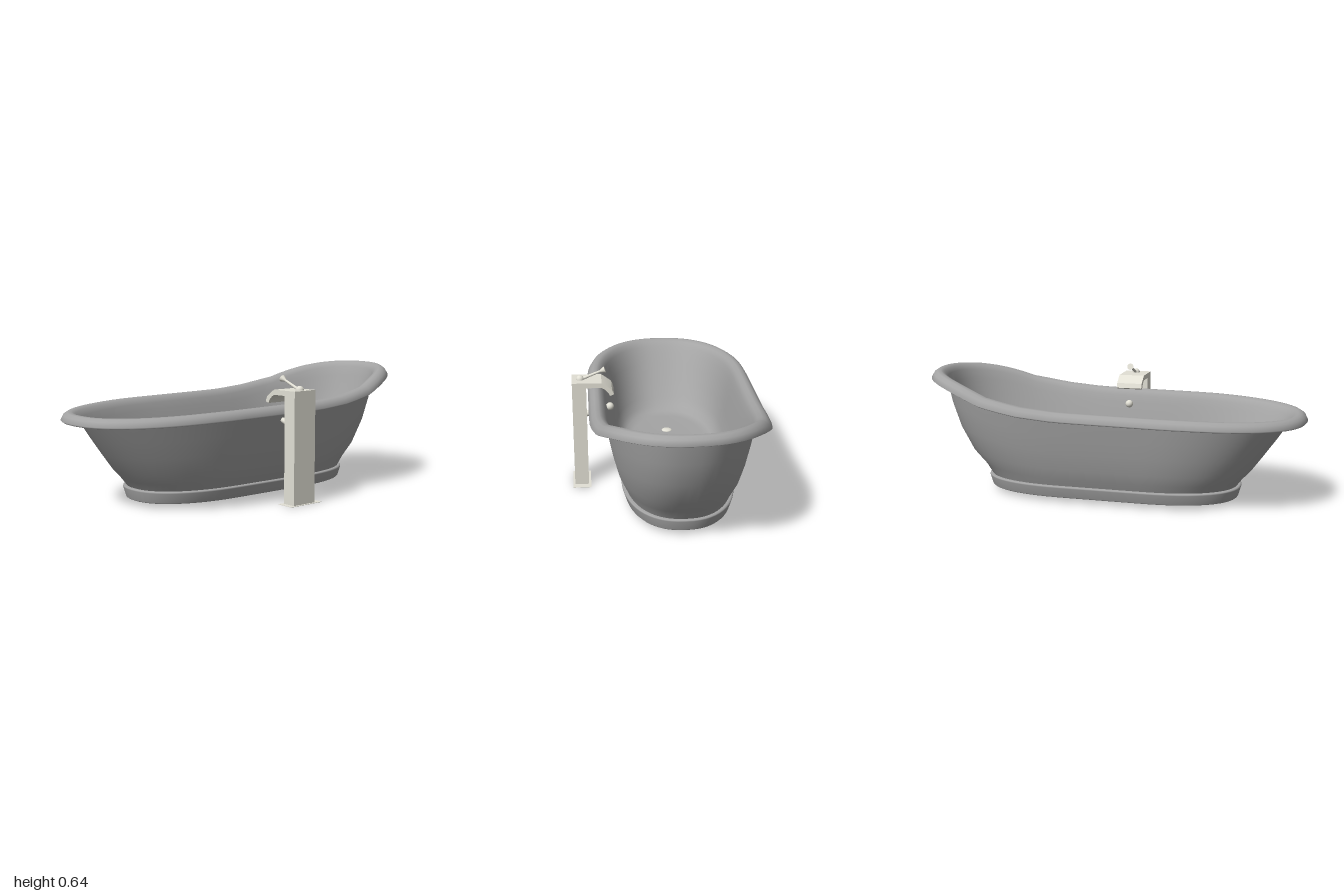
import * as THREE from 'three';

const TUB_X = -0.05, BASE_Y = 0.09, TAP_Z = -0.01;

// Crest height of the rim from the raised back (-1) to the front (1)
const CREST = [[-1, 0.645], [-0.9, 0.629], [-0.8, 0.608], [-0.7, 0.580], [-0.6, 0.547],
  [-0.4, 0.514], [-0.2, 0.498], [0, 0.495], [0.5, 0.489], [1, 0.475]];
function rimY(s) {
  let i = 1;
  while (i < CREST.length - 1 && s > CREST[i][0]) i++;
  const [s0, y0] = CREST[i - 1], [s1, y1] = CREST[i];
  return THREE.MathUtils.mapLinear(s, s0, s1, y0, y1);
}

// Unit plan outline: straight sides with full, rounded ends
const STRAIGHT = 0.3, CAP_STEPS = 32, SIDE_STEPS = 8;
const power = v => Math.sign(v) * Math.pow(Math.abs(v), 2 / 2.3);
const half = [];
for (let j = 0; j < CAP_STEPS; j++) {
  const a = j / CAP_STEPS * Math.PI;
  half.push([power(Math.cos(a)), STRAIGHT + (1 - STRAIGHT) * power(Math.sin(a))]);
}
for (let j = 0; j < SIDE_STEPS; j++) half.push([-1, STRAIGHT * (1 - 2 * j / SIDE_STEPS)]);
const OUTLINE = [...half, ...half.map(([c, s]) => [-c, -s])];

// Rings: [half width, front length, back length, rim share of height, height offset]
function loft(rings, material, name) {
  const pos = [], index = [], segs = OUTLINE.length;
  for (const [w, front, back, t, dy] of rings) {
    for (const [c, s] of OUTLINE) {
      pos.push(TUB_X + w * c, BASE_Y + t * (rimY(s) - BASE_Y) + dy, s * (s > 0 ? front : back));
    }
  }
  for (let i = 0; i < rings.length - 1; i++) {
    for (let j = 0; j < segs; j++) {
      const k = (j + 1) % segs;
      const a = i * segs + j, b = i * segs + k, c = a + segs, d = b + segs;
      index.push(a, c, b, c, d, b);
    }
  }
  const geo = new THREE.BufferGeometry();
  geo.setAttribute('position', new THREE.Float32BufferAttribute(pos, 3));
  geo.setIndex(index);
  geo.computeVertexNormals();
  const mesh = new THREE.Mesh(geo, material);
  mesh.name = name;
  return mesh;
}

// Tapered round bar between two points in the tap's plane
function bar(x0, y0, x1, y1, r0, r1, material, name) {
  const a = new THREE.Vector3(x0, y0, TAP_Z), b = new THREE.Vector3(x1, y1, TAP_Z);
  const mesh = new THREE.Mesh(new THREE.CylinderGeometry(r1, r0, a.distanceTo(b), 20), material);
  mesh.position.copy(a).lerp(b, 0.5);
  mesh.quaternion.setFromUnitVectors(new THREE.Vector3(0, 1, 0), b.clone().sub(a).normalize());
  mesh.name = name;
  return mesh;
}

export function createModel() {
  const enamel = new THREE.MeshStandardMaterial({ color: 0xa4a4a4 });
  enamel.name = 'greyEnamel';
  const metal = new THREE.MeshStandardMaterial({ color: 0xe2e0d5 });
  metal.name = 'paleMetal';

  const model = new THREE.Group();
  model.name = 'bathtubWithTap';
  const tub = new THREE.Group();
  tub.name = 'bathtub';
  const tap = new THREE.Group();
  tap.name = 'tap';
  model.add(tub, tap);

  // Tub shell: outer wall, rolled rim and basin
  tub.add(
    loft([
      [0.270, 0.655, 0.675, 0, -0.005],
      [0.289, 0.685, 0.710, 0.1, -0.004],
      [0.310, 0.732, 0.780, 0.25, -0.011],
      [0.333, 0.795, 0.850, 0.5, -0.022],
      [0.351, 0.855, 0.893, 0.75, -0.034],
      [0.368, 0.912, 0.920, 1, -0.045],
    ], enamel, 'outerWall'),
    loft([
      [0.368, 0.912, 0.920, 1, -0.045],
      [0.438, 0.992, 0.985, 1, -0.046],
    ], enamel, 'rimUnderside'),
    loft([
      [0.438, 0.992, 0.985, 1, -0.046],
      [0.446, 1.000, 0.998, 1, -0.038],
      [0.432, 0.988, 0.985, 1, -0.014],
      [0.415, 0.970, 0.968, 1, -0.002],
      [0.395, 0.950, 0.950, 1, 0],
      [0.376, 0.930, 0.932, 1, -0.010],
      [0.360, 0.905, 0.915, 1, -0.035],
      [0.352, 0.880, 0.900, 0.9, -0.03],
      [0.333, 0.838, 0.873, 0.75, -0.025],
      [0.314, 0.775, 0.828, 0.5, -0.015],
      [0.289, 0.708, 0.755, 0.25, 0],
      [0.270, 0.670, 0.710, 0.12, 0.008],
      [0.245, 0.635, 0.675, 0.04, 0.015],
      [0.210, 0.580, 0.610, 0, 0.02],
      [0.100, 0.300, 0.300, 0, 0.02],
      [0.0005, 0.0005, 0.0005, 0, 0.02],
    ], enamel, 'rimAndBasin'),
  );

  // Plinth: recessed underside, flared skirt and rounded top edge
  tub.add(
    loft([
      [0.0005, 0.0005, 0.0005, 0, -0.05],
      [0.250, 0.635, 0.655, 0, -0.05],
    ], enamel, 'underside'),
    loft([
      [0.250, 0.635, 0.655, 0, -0.05],
      [0.253, 0.638, 0.658, 0, -0.066],
      [0.268, 0.655, 0.672, 0, -0.066],
      [0.273, 0.660, 0.677, 0, -0.061],
      [0.288, 0.674, 0.691, 0, -0.012],
      [0.287, 0.673, 0.690, 0, -0.006],
      [0.281, 0.667, 0.684, 0, -0.003],
      [0.265, 0.645, 0.665, 0, -0.003],
    ], enamel, 'plinth'),
  );

  // Drain plug on the basin floor
  const drain = new THREE.Mesh(
    new THREE.SphereGeometry(0.029, 24, 8, 0, Math.PI * 2, 0, Math.PI / 2), metal);
  drain.scale.y = 0.3;
  drain.position.set(TUB_X, 0.11, 0.37);
  drain.name = 'drain';
  tub.add(drain);

  // Tap post and curved spout in one side profile
  const side = new THREE.Shape();
  side.moveTo(0.405, 0);
  side.lineTo(0.478, 0);
  side.lineTo(0.478, 0.573);
  side.lineTo(0.325, 0.571);
  side.quadraticCurveTo(0.298, 0.555, 0.272, 0.533);
  side.lineTo(0.262, 0.508);
  side.lineTo(0.283, 0.500);
  side.quadraticCurveTo(0.295, 0.530, 0.325, 0.545);
  side.lineTo(0.405, 0.546);
  const post = new THREE.Mesh(
    new THREE.ExtrudeGeometry(side, { depth: 0.14, bevelEnabled: false, curveSegments: 8 }), metal);
  post.position.z = TAP_Z - 0.067;
  post.name = 'postAndSpout';
  tap.add(post);

  const foot = new THREE.Mesh(new THREE.BoxGeometry(0.096, 0.002, 0.206), metal);
  foot.position.set(0.441, 0.001, -0.013);
  foot.name = 'footPlate';
  tap.add(foot);

  // Lever handle with ball joint and flared tip
  const ball = new THREE.Mesh(new THREE.SphereGeometry(0.021, 24, 16), metal);
  ball.position.set(0.435, 0.573, TAP_Z);
  ball.name = 'handleBall';
  tap.add(
    ball,
    bar(0.428, 0.574, 0.328, 0.614, 0.008, 0.006, metal, 'handleLever'),
    bar(0.33, 0.613, 0.305, 0.622, 0.006, 0.018, metal, 'handleTip'),
  );

  // Inlet pipe from the post through the tub wall
  tap.add(bar(0.42, 0.376, 0.28, 0.420, 0.016, 0.013, metal, 'inletPipe'));
  const knob = new THREE.Mesh(new THREE.SphereGeometry(0.021, 20, 12), metal);
  knob.position.set(0.283, 0.417, TAP_Z);
  knob.name = 'inletKnob';
  tap.add(knob);

  return model;
}
